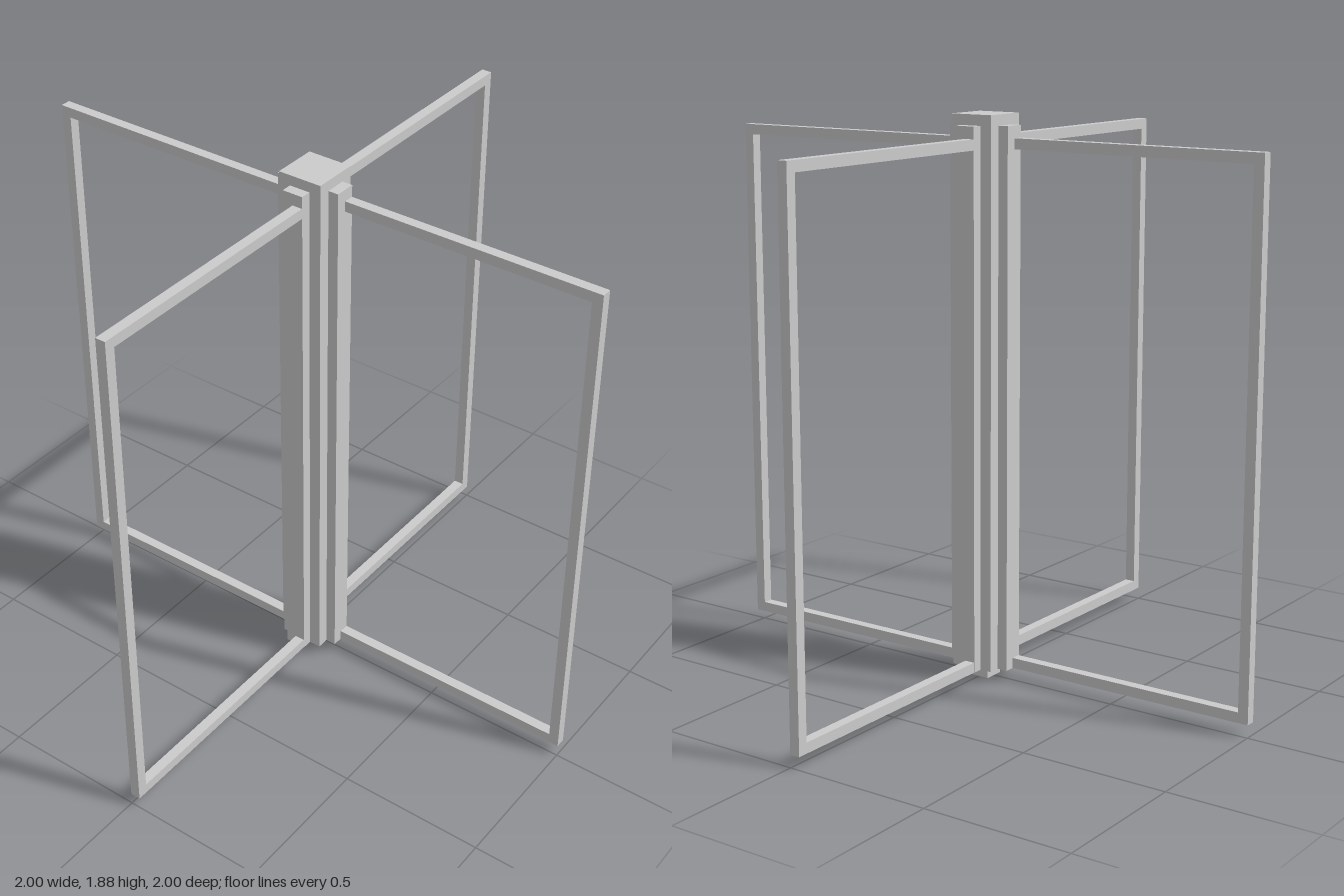
import * as THREE from 'three';

const material = new THREE.MeshStandardMaterial({ color: 0xcccccc, flatShading: true });

// Box given by its minimum and maximum corners
function box(name, [x0, y0, z0], [x1, y1, z1]) {
  const geometry = new THREE.BoxGeometry(x1 - x0, y1 - y0, z1 - z0);
  geometry.translate((x0 + x1) / 2, (y0 + y1) / 2, (z0 + z1) / 2);
  const mesh = new THREE.Mesh(geometry, material);
  mesh.name = name;
  return mesh;
}

export function createModel() {
  const model = new THREE.Group();
  model.name = 'revolvingDoor';

  const bar = 0.035;      // thickness of the frame bars
  const core = 0.077;     // half width of the central column
  const reach = 0.113;    // outer face of the cleats
  const base = 0.042;     // underside of column and wings
  const wingTop = 1.81;

  // Central column and the pivot pin it turns on
  model.add(box('column', [-core, base, -core], [core, 1.885, core]));
  model.add(box('pivotPin', [-0.036, 0, -0.036], [0.036, base, 0.036]));

  // Four wings, each offset to one side of its axis
  for (let i = 0; i < 4; i++) {
    const wing = new THREE.Group();
    wing.name = `wing${i + 1}`;
    wing.add(
      box('cleat', [core, base, -0.036], [reach, 1.85, 0.036]),
      box('topRail', [reach, wingTop - bar, -bar], [1, wingTop, 0]),
      box('bottomRail', [reach, base, -bar], [1, base + bar, 0]),
      box('outerStile', [1 - bar, base + bar, -bar], [1, wingTop - bar, 0])
    );
    wing.rotation.y = (i * Math.PI) / 2;
    model.add(wing);
  }
  return model;
}
